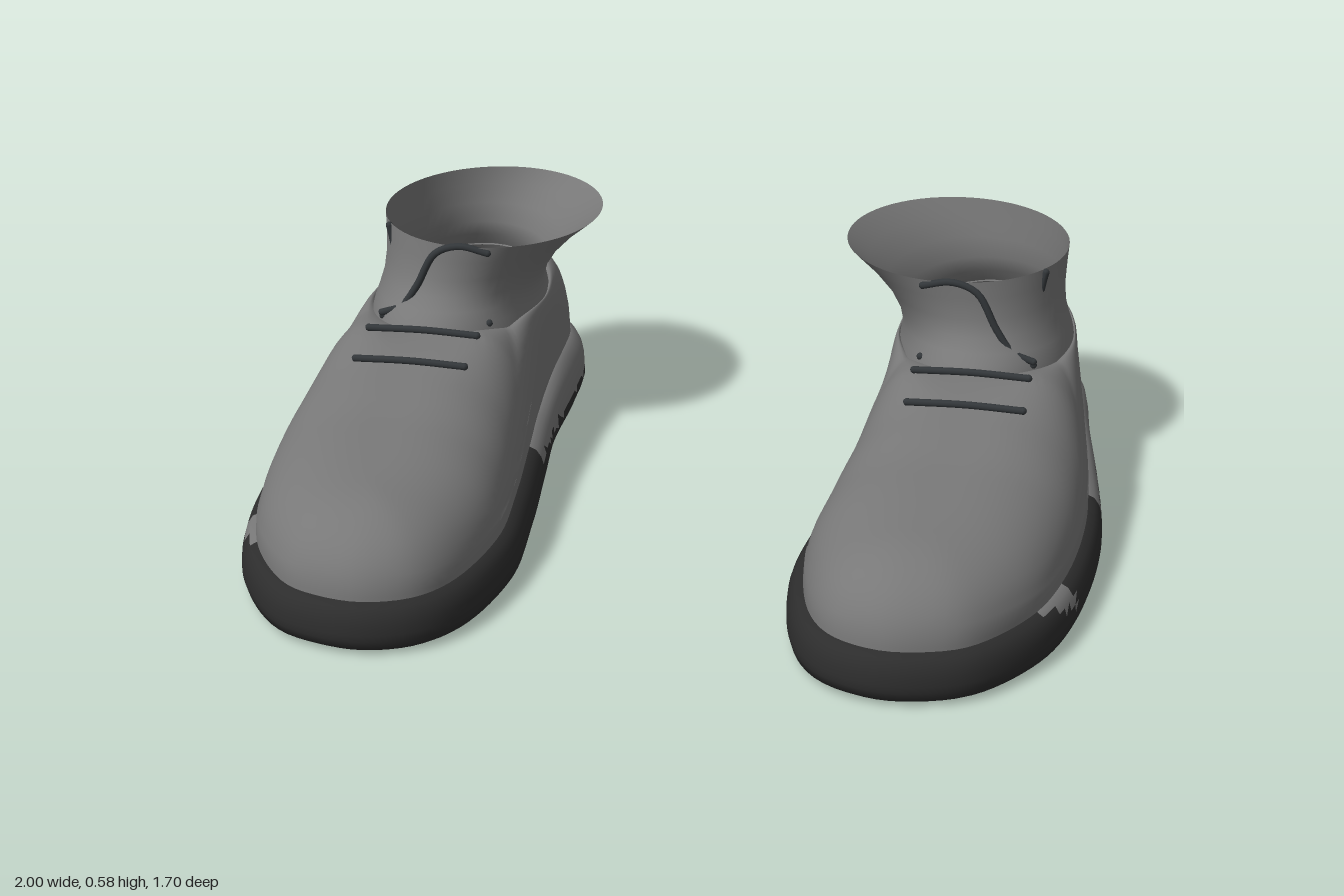
import * as THREE from 'three';

const N = 128; // points around each shoe

// Sole outline of the left shoe as [x, z]: toe, inner side, heel, outer side
const OUTLINE = [
  [0.57, 0.848], [0.45, 0.80], [0.375, 0.70], [0.32, 0.45], [0.335, 0.2], [0.365, -0.05], [0.395, -0.3],
  [0.40, -0.55], [0.42, -0.73], [0.50, -0.83], [0.64, -0.855], [0.80, -0.825], [0.885, -0.72],
  [0.93, -0.45], [0.965, -0.24], [0.998, 0.08], [0.975, 0.4], [0.915, 0.61], [0.79, 0.785], [0.69, 0.835],
];
// Height of the upper along z
const CREST = [[-0.85, 0.37], [-0.72, 0.367], [-0.45, 0.35], [-0.25, 0.368], [-0.1, 0.388],
  [0.1, 0.352], [0.3, 0.32], [0.6, 0.296], [0.85, 0.275]];
// Collar rings: y, centre x, centre z, radius x, radius z
const COLLAR = [
  [0.325, 0.665, -0.43, 0.215, 0.335], [0.36, 0.664, -0.43, 0.208, 0.32], [0.39, 0.661, -0.432, 0.201, 0.296],
  [0.43, 0.65, -0.44, 0.201, 0.276], [0.48, 0.632, -0.452, 0.215, 0.274],
  [0.53, 0.608, -0.46, 0.241, 0.28], [0.573, 0.582, -0.465, 0.27, 0.287],
];
// Sole rim: inset, height
const RIM = [[0.03, 0], [0.006, 0.015], [0, 0.035], [0, 0.05], [0.002, 0.07], [0.008, 0.09], [0.02, 0.108], [0.04, 0.118], [0.065, 0.118]];

const smooth = THREE.MathUtils.smoothstep;
const hash = (i) => Math.abs(Math.sin(i * 127.1) * 43758.5453) % 1;

function crest(z) {
  let i = 0;
  while (i < CREST.length - 2 && z > CREST[i + 1][0]) i++;
  const [a, b] = [CREST[i], CREST[i + 1]];
  return a[1] + (b[1] - a[1]) * smooth(z, a[0], b[0]) * 0.4
    + (b[1] - a[1]) * 0.6 * THREE.MathUtils.clamp((z - a[0]) / (b[0] - a[0]), 0, 1);
}

// Skin rings of points into a closed band; pick() sends each triangle to a material
function loft(rings, side, pick = () => 0) {
  const n = rings[0].length;
  const pos = rings.flat().flatMap((p) => [p.x * side, p.y, p.z]);
  const faces = [[], []];
  const add = (tri, j) => {
    const v = tri.map((i) => rings[Math.floor(i / n)][i % n]);
    const mid = new THREE.Vector3().add(v[0]).add(v[1]).add(v[2]).divideScalar(3);
    faces[pick(mid, j)].push(...(side < 0 ? [tri[0], tri[2], tri[1]] : tri));
  };
  for (let k = 0; k < rings.length - 1; k++) {
    for (let j = 0; j < n; j++) {
      const a = k * n + j, b = k * n + (j + 1) % n;
      add([a, a + n, b], j);
      add([b, a + n, b + n], j);
    }
  }
  const g = new THREE.BufferGeometry();
  g.setAttribute('position', new THREE.Float32BufferAttribute(pos, 3));
  g.setIndex(faces.flat());
  g.addGroup(0, faces[0].length, 0);
  g.addGroup(faces[0].length, faces[1].length, 1);
  g.computeVertexNormals();
  return g;
}

export function createModel() {
  const leather = new THREE.MeshStandardMaterial({ color: 0x787878, side: THREE.DoubleSide });
  leather.name = 'grey leather';
  const rubber = new THREE.MeshStandardMaterial({ color: 0x2d2d2d, side: THREE.DoubleSide });
  rubber.name = 'black rubber';
  const cord = new THREE.MeshStandardMaterial({ color: 0x33373a });
  cord.name = 'dark cord';

  const curve = new THREE.CatmullRomCurve3(OUTLINE.map(([x, z]) => new THREE.Vector3(x, 0, z)), true);
  const outline = curve.getSpacedPoints(N).slice(0, N);
  const inset = (d, y) => outline.map((p, j) => {
    const t = outline[(j + 1) % N].clone().sub(outline[(j + N - 1) % N]).normalize();
    return new THREE.Vector3(p.x - t.z * d, y, p.z + t.x * d);
  });

  // Sole: flat underside, rounded rim, thicker at the heel
  const centre = new THREE.Vector3(0.65, 0, 0);
  const soleRings = [outline.map(() => centre.clone()), ...RIM.map(([d, y]) => inset(d, y))];
  soleRings.flat().forEach((p) => {
    p.y *= 1 + 0.3 * (1 - smooth(p.z, -0.5, -0.25)) * smooth(p.y, 0.03, 0.08);
  });
  // Rubber covers the toe and middle, and wears to a ragged strip at the heel
  const soleColour = (m, j) => {
    let limit = 0.04 + 0.03 * hash(j);
    if (m.z > -0.28) limit = 0.06 + 0.03 * hash(j);
    if (m.z > -0.05) limit = 1;
    if (m.x > 0.7 && m.z > 0.42 && m.z < 0.58) limit = 0.06 + (m.z - 0.42) * 0.35;
    return m.y < limit ? 0 : 1;
  };

  // Upper: spans from the rim to the ankle opening, with a rounded edge
  const edge = inset(0.036, 0.095);
  const fine = new THREE.CatmullRomCurve3(edge, true).getPoints(N * 4);
  const opening = edge.map((p) => {
    const [, cx, cz, rx, rz] = COLLAR[1];
    const a = Math.atan2((p.x - cx) / rx, (p.z - cz) / rz);
    return new THREE.Vector3(cx + rx * Math.sin(a), 0, cz + rz * Math.cos(a));
  });
  const STEPS = 24;
  const upperRings = [];
  for (let k = 0; k <= STEPS; k++) {
    const t = (k / STEPS) ** 2;
    upperRings.push(edge.map((e, j) => {
      const o = opening[j];
      const p = new THREE.Vector3(e.x + (o.x - e.x) * t, 0.095, e.z + (o.z - e.z) * t);
      let d = Infinity;
      for (const f of fine) d = Math.min(d, Math.hypot(f.x - p.x, f.z - p.z));
      if (k === 0) d = 0;
      const reach = Math.hypot(o.x - e.x, o.z - e.z);
      const w = Math.min(0.09 + 0.17 * smooth(p.z, -0.35, 0.15), reach * 0.85);
      const q = Math.min(1, d / w);
      p.y = 0.095 + (crest(p.z) - 0.095) * (1 - (1 - q) ** 2.4) ** (1 / 2.4) - 0.015 * t ** 10;
      return p;
    }));
  }

  // Collar: flared ankle cuff leaning inwards, its base rising at the front
  const collarRings = COLLAR.map(([y, cx, cz, rx, rz], k) => Array.from({ length: 64 }, (_, j) => {
    const a = (j / 64) * Math.PI * 2;
    const lift = 0.045 * Math.max(0, Math.cos(a)) ** 2 * Math.max(0, 1 - k / 4);
    return new THREE.Vector3(cx - rx * Math.sin(a), y + lift, cz + rz * Math.cos(a));
  }));

  // Insole seen through the opening
  const insoleRings = [inset(0.055, 0.11), outline.map(() => new THREE.Vector3(0.65, 0.11, 0))];

  const LACES = [
    [[0.53, 0.362, 0.055], [0.665, 0.366, 0.055], [0.80, 0.362, 0.055]],
    [[0.53, 0.392, -0.065], [0.665, 0.396, -0.065], [0.80, 0.392, -0.065]],
    [[0.53, 0.375, -0.185], [0.665, 0.378, -0.185], [0.80, 0.375, -0.185]],
    [[0.53, 0.558, -0.185], [0.60, 0.573, -0.18], [0.66, 0.55, -0.18], [0.71, 0.46, -0.18], [0.75, 0.405, -0.18], [0.80, 0.385, -0.18]],
    [[0.81, 0.565, -0.305], [0.785, 0.48, -0.305], [0.70, 0.43, -0.305], [0.53, 0.41, -0.305]],
  ];

  function shoe(side, name) {
    const g = new THREE.Group();
    g.name = name;
    const add = (geometry, material, part) => {
      const mesh = new THREE.Mesh(geometry, material);
      mesh.name = part;
      g.add(mesh);
    };
    add(loft(soleRings, side, soleColour), [rubber, leather], 'sole');
    add(loft(upperRings, side), [leather], 'upper');
    add(loft(collarRings, side), [leather], 'collar');
    add(loft(insoleRings, side), [rubber], 'insole');
    LACES.forEach((points) => {
      const path = new THREE.CatmullRomCurve3(points.map(([x, y, z]) => new THREE.Vector3(x * side, y, z)));
      add(new THREE.TubeGeometry(path, 24, 0.009, 8), cord, 'lace');
      // closed lace ends
      [points[0], points[points.length - 1]].forEach(([x, y, z]) => {
        add(new THREE.SphereGeometry(0.009, 8, 6).translate(x * side, y, z), cord, 'laceEnd');
      });
    });
    return g;
  }

  const model = new THREE.Group();
  model.name = 'shoes';
  model.add(shoe(1, 'leftShoe'), shoe(-1, 'rightShoe'));
  return model;
}
